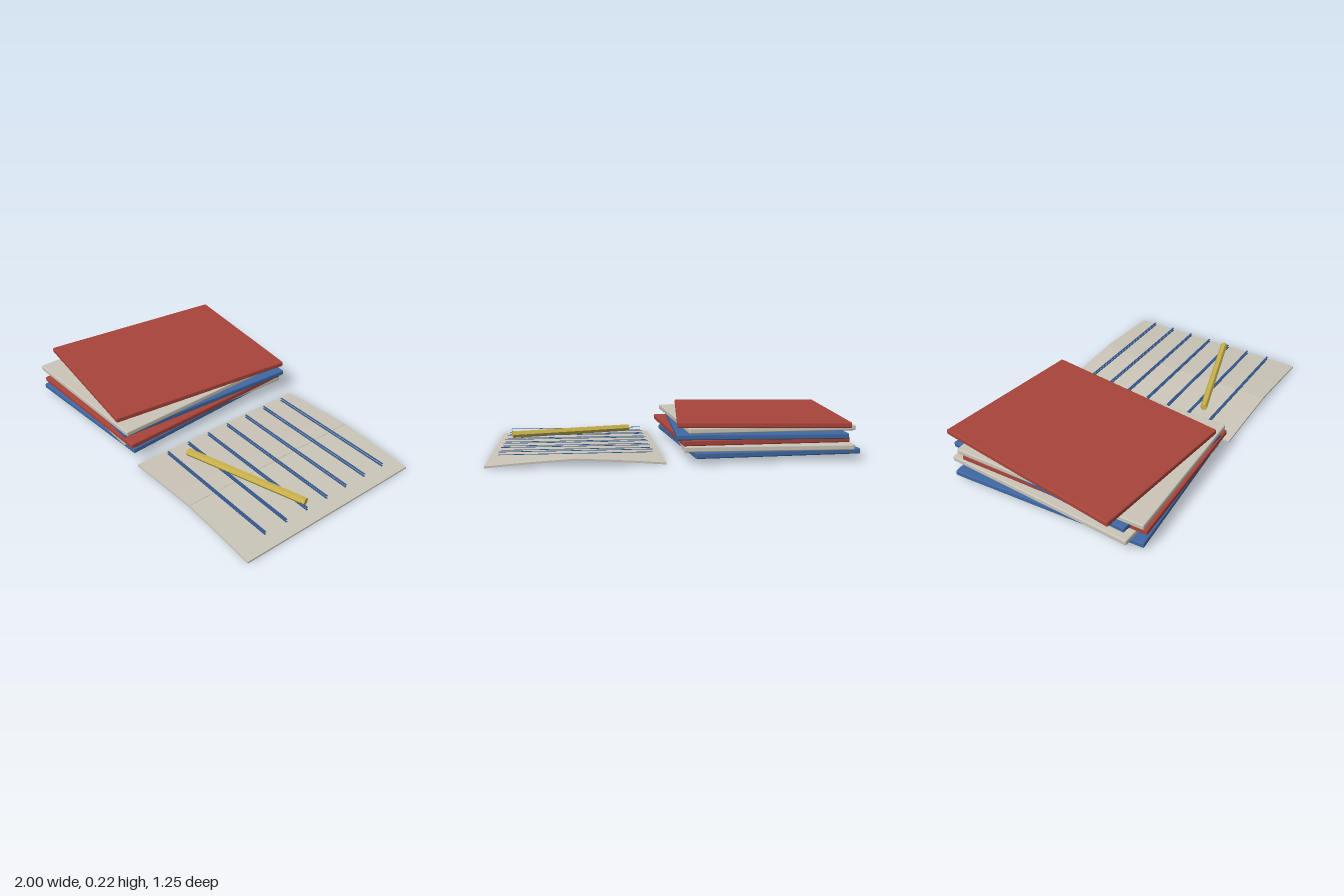
import * as THREE from 'three';
import { RoundedBoxGeometry } from 'three/addons/geometries/RoundedBoxGeometry.js';

const RED = 0xa8443a, BLUE = 0x3f68a4, CREAM = 0xcbc5b8;

function part(name, geometry, color, flatShading = false) {
  const mesh = new THREE.Mesh(geometry, new THREE.MeshStandardMaterial({ color, flatShading }));
  mesh.name = name;
  return mesh;
}

// One half of the open notebook, arching down from the spine to the outer edge
function pageGeometry(side) {
  const width = 0.455, thick = 0.01;
  const g = new THREE.BoxGeometry(width, thick, 1.125, 10, 1, 1);
  const p = g.attributes.position;
  for (let i = 0; i < p.count; i++) {
    const u = side * p.getX(i) / width + 0.5;
    p.setY(i, p.getY(i) + 0.035 - 0.03 * (0.7 * u + 0.3 * u * u));
  }
  g.computeVertexNormals();
  return g;
}

export function createModel() {
  const model = new THREE.Group();
  model.name = 'booksAndNotebook';

  // Stack of thin books, bottom to top: colour, x, z, turn
  const stack = new THREE.Group();
  stack.name = 'bookStack';
  const books = [
    [BLUE, -0.48, 0.03, 0.07],
    [CREAM, -0.48, 0.01, -0.03],
    [RED, -0.435, 0.045, 0.04],
    [BLUE, -0.455, 0.003, -0.055],
    [CREAM, -0.468, 0.047, 0.035],
    [RED, -0.487, -0.019, -0.112],
  ];
  const bookGeometry = new RoundedBoxGeometry(0.9, 0.03, 1.12, 2, 0.007);
  books.forEach(([color, x, z, turn], i) => {
    const book = part('book' + (i + 1), bookGeometry, color);
    book.position.set(x, 0.0425 + i * 0.0315, z);
    book.rotation.y = turn;
    stack.add(book);
  });
  model.add(stack);

  // Open notebook: two pages and a spine
  const notebook = new THREE.Group();
  notebook.name = 'notebook';
  notebook.position.set(0.54, 0, 0.022);
  for (const side of [-1, 1]) {
    const page = part(side > 0 ? 'leftPage' : 'rightPage', pageGeometry(side), CREAM);
    page.position.x = side * 0.2325;
    notebook.add(page);
  }
  const spine = part('spine', new THREE.BoxGeometry(0.012, 0.01, 1.125), CREAM);
  spine.position.y = 0.037;
  notebook.add(spine);
  model.add(notebook);

  // Ruled lines across both pages
  const lines = new THREE.Group();
  lines.name = 'ruledLines';
  const lineGeometry = new THREE.BoxGeometry(0.8, 0.002, 0.01);
  for (let i = 0; i < 7; i++) {
    for (const y of [0.045, 0.06]) {
      const line = part('ruledLine', lineGeometry, 0x35588c);
      line.position.set(0.54, y, -0.41 + i * 0.139);
      lines.add(line);
    }
  }
  model.add(lines);

  // Six-sided pencil lying across the pages
  const pencil = part('pencil', new THREE.CylinderGeometry(0.021, 0.021, 0.723, 6).rotateZ(Math.PI / 2), 0xc9b14a, true);
  pencil.position.set(0.565, 0.069, 0.237);
  pencil.rotation.y = 0.305;
  model.add(pencil);

  return model;
}
